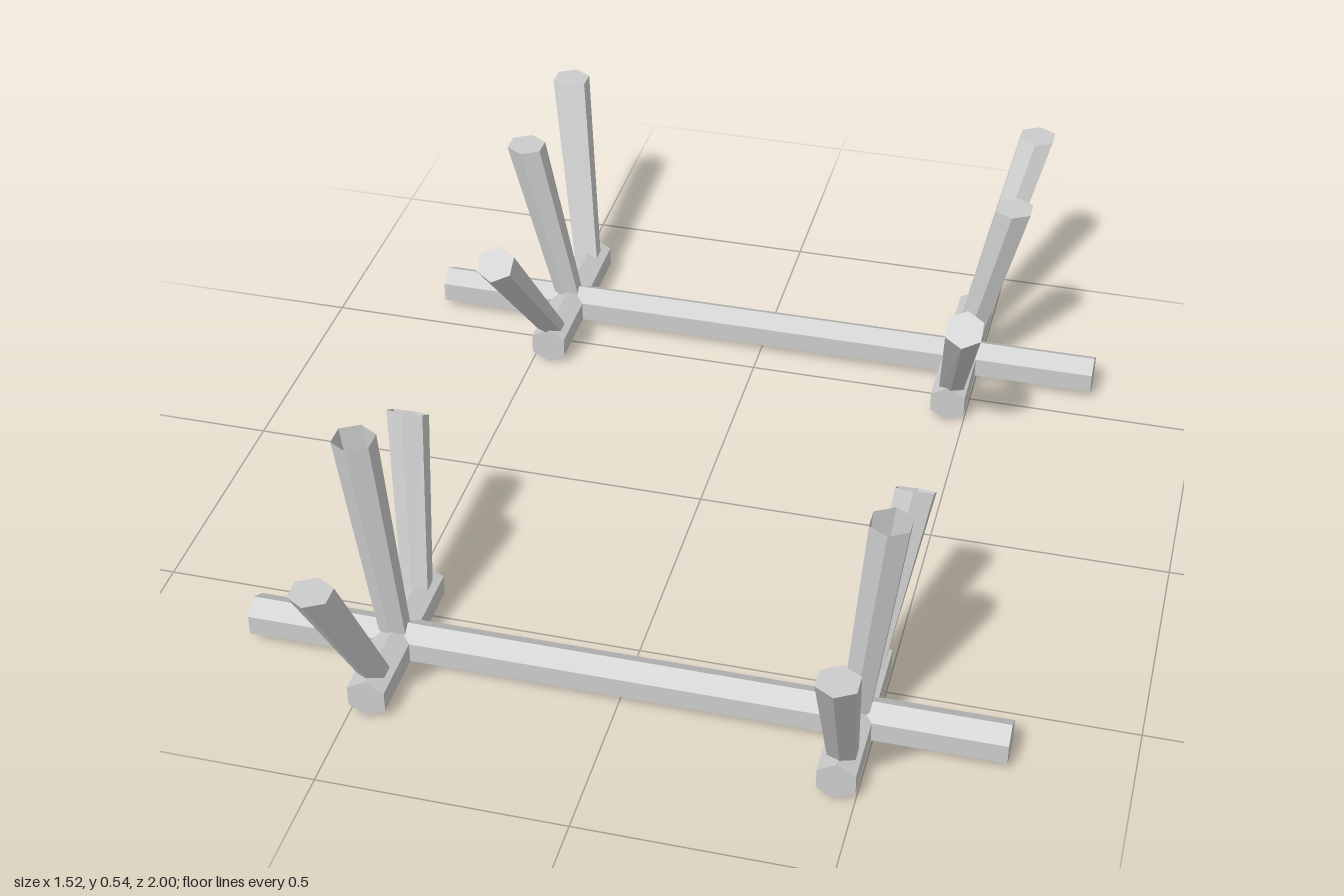
import * as THREE from 'three';

const R = 0.0435; // hexagon radius of every bar
const ARM_X = 0.4625;

const closedMat = new THREE.MeshStandardMaterial({ color: 0xcccccc, flatShading: true });
const openMat = new THREE.MeshStandardMaterial({ color: 0xcccccc, flatShading: true, side: THREE.DoubleSide });

// Hexagonal bar lying on the ground with one edge pointing up
function bar(name, length, axis, x, z) {
  const geo = new THREE.CylinderGeometry(R, R, length, 6);
  geo.rotateX(Math.PI / 2); // points now up and down, length along z
  if (axis === 'x') geo.rotateY(Math.PI / 2);
  const mesh = new THREE.Mesh(geo, closedMat);
  mesh.name = name;
  mesh.position.set(x, R, z);
  return mesh;
}

// Leaning hexagonal post: level foot, widening to a tip that may be cut at a slope
function post(name, foot, tip, slope = 0, open = false) {
  const geo = new THREE.CylinderGeometry(R, 0.031, 1, 6, 1, open);
  const p = geo.attributes.position;
  const squash = 1 / Math.hypot(1, slope);
  for (let i = 0; i < p.count; i++) {
    const t = p.getY(i) + 0.5;
    const dz = p.getZ(i) * THREE.MathUtils.lerp(1, squash, t);
    const c = foot.map((f, k) => THREE.MathUtils.lerp(f, tip[k], t));
    p.setXYZ(i, c[0] + p.getX(i), c[1] + slope * dz * t, c[2] + dz);
  }
  geo.computeVertexNormals();
  const mesh = new THREE.Mesh(geo, open ? openMat : closedMat);
  mesh.name = name;
  return mesh;
}

// Each rack: beam z, cross foot extent, and posts [name, foot z, tip x, y, z, slope, open]
const racks = [
  {
    name: 'frontRack', z: 0.625, foot: [0.45, 0.81],
    posts: [
      ['frontPost', 0.745, 0.485, 0.43, 0.957, 0, false],
      ['middlePost', 0.63, 0.513, 0.535, 0.632, 0, true],
      ['backPost', 0.503, 0.513, 0.393, 0.351, 0.66, true],
    ],
  },
  {
    name: 'backRack', z: -0.6, foot: [-0.805, -0.41],
    posts: [
      ['frontPost', -0.465, 0.513, 0.38, -0.22, -0.67, false],
      ['middlePost', -0.598, 0.556, 0.455, -0.598, 0, false],
      ['backPost', -0.745, 0.556, 0.43, -0.957, 0, false],
    ],
  },
];

export function createModel() {
  const model = new THREE.Group();
  model.name = 'postRacks';
  for (const r of racks) {
    const rack = new THREE.Group();
    rack.name = r.name;
    rack.add(bar('longBeam', 1.525, 'x', 0, r.z));
    const [z0, z1] = r.foot;
    for (const side of [-1, 1]) {
      const arm = new THREE.Group();
      arm.name = side > 0 ? 'leftSupport' : 'rightSupport';
      arm.add(bar('crossFoot', z1 - z0, 'z', side * ARM_X, (z0 + z1) / 2));
      for (const [name, footZ, x, y, z, slope, open] of r.posts) {
        arm.add(post(name, [side * ARM_X, 0.05, footZ], [side * x, y, z], slope, open));
      }
      rack.add(arm);
    }
    model.add(rack);
  }
  return model;
}
